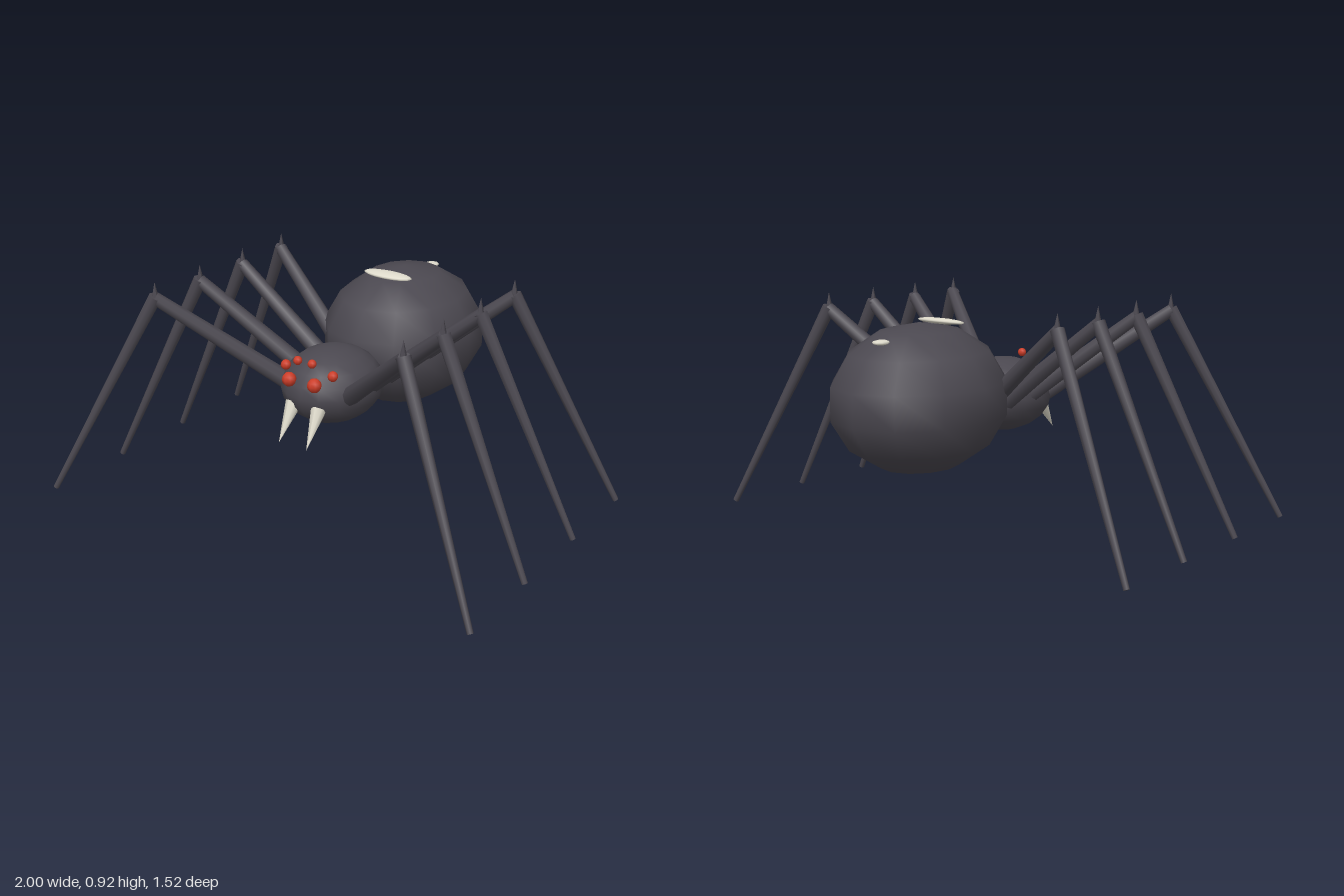
import * as THREE from 'three';

const paint = (name, color) => {
  const m = new THREE.MeshStandardMaterial({ color });
  m.name = name;
  return m;
};

export function createModel() {
  const spider = new THREE.Group();
  spider.name = 'spider';
  const charcoal = paint('charcoal', 0x4b4850);
  const red = paint('eye red', 0xcc3d28);
  const bone = paint('bone', 0xdedacb);

  // Ellipsoid with given radii
  const blob = (name, mat, pos, radii, w, h, parent = spider) => {
    const mesh = new THREE.Mesh(new THREE.SphereGeometry(1, w, h), mat);
    mesh.name = name;
    mesh.scale.set(...radii);
    mesh.position.set(...pos);
    parent.add(mesh);
    return mesh;
  };

  // Tapered rod running from point a to point b
  const rod = (name, mat, a, b, ra, rb, sides, parent) => {
    const from = new THREE.Vector3(...a), to = new THREE.Vector3(...b);
    const dir = to.clone().sub(from);
    const mesh = new THREE.Mesh(new THREE.CylinderGeometry(rb, ra, dir.length(), sides), mat);
    mesh.name = name;
    mesh.position.copy(from).add(to).multiplyScalar(0.5);
    mesh.quaternion.setFromUnitVectors(new THREE.Vector3(0, 1, 0), dir.normalize());
    parent.add(mesh);
  };

  // Body
  blob('abdomen', charcoal, [0, 0.56, -0.38], [0.328, 0.293, 0.39], 12, 7);
  blob('head', charcoal, [0, 0.503, 0.15], [0.198, 0.152, 0.222], 16, 10);

  // Pale markings on the back
  blob('frontMarking', bone, [0, 0.844, -0.25], [0.115, 0.012, 0.036], 16, 8).rotation.x = 0.1;
  blob('rearMarking', bone, [0, 0.799, -0.598], [0.032, 0.01, 0.038], 10, 6);

  // Each leg: z of hip, knee and foot
  const legs = [
    [0.25, 0.535, 0.75],
    [0.12, 0.265, 0.35],
    [-0.02, -0.01, -0.05],
    [-0.15, -0.28, -0.45],
  ];
  // Each eye: x, y, z, radius
  const eyes = [
    [0.06, 0.572, 0.358, 0.029],
    [0.112, 0.605, 0.308, 0.021],
    [0.034, 0.648, 0.335, 0.018],
  ];

  for (const [side, s] of [['left', 1], ['right', -1]]) {
    legs.forEach(([hip, knee, foot], i) => {
      const leg = new THREE.Group();
      leg.name = `${side}Leg${i + 1}`;
      rod('upperLeg', charcoal, [s * 0.15, 0.51, hip], [s * 0.575, 0.855, knee], 0.037, 0.026, 8, leg);
      rod('lowerLeg', charcoal, [s * 0.57, 0.86, knee], [s * 0.989, 0.006, foot], 0.028, 0.012, 8, leg);
      rod('kneeSpike', charcoal, [s * 0.57, 0.835, knee], [s * 0.57, 0.922, knee], 0.019, 0, 6, leg);
      spider.add(leg);
    });
    for (const [x, y, z, r] of eyes) blob(`${side}Eye`, red, [s * x, y, z], [r, r, r], 8, 6);
    rod(`${side}Fang`, bone, [s * 0.06, 0.465, 0.33], [s * 0.066, 0.325, 0.425], 0.033, 0, 8, spider);
  }
  return spider;
}
